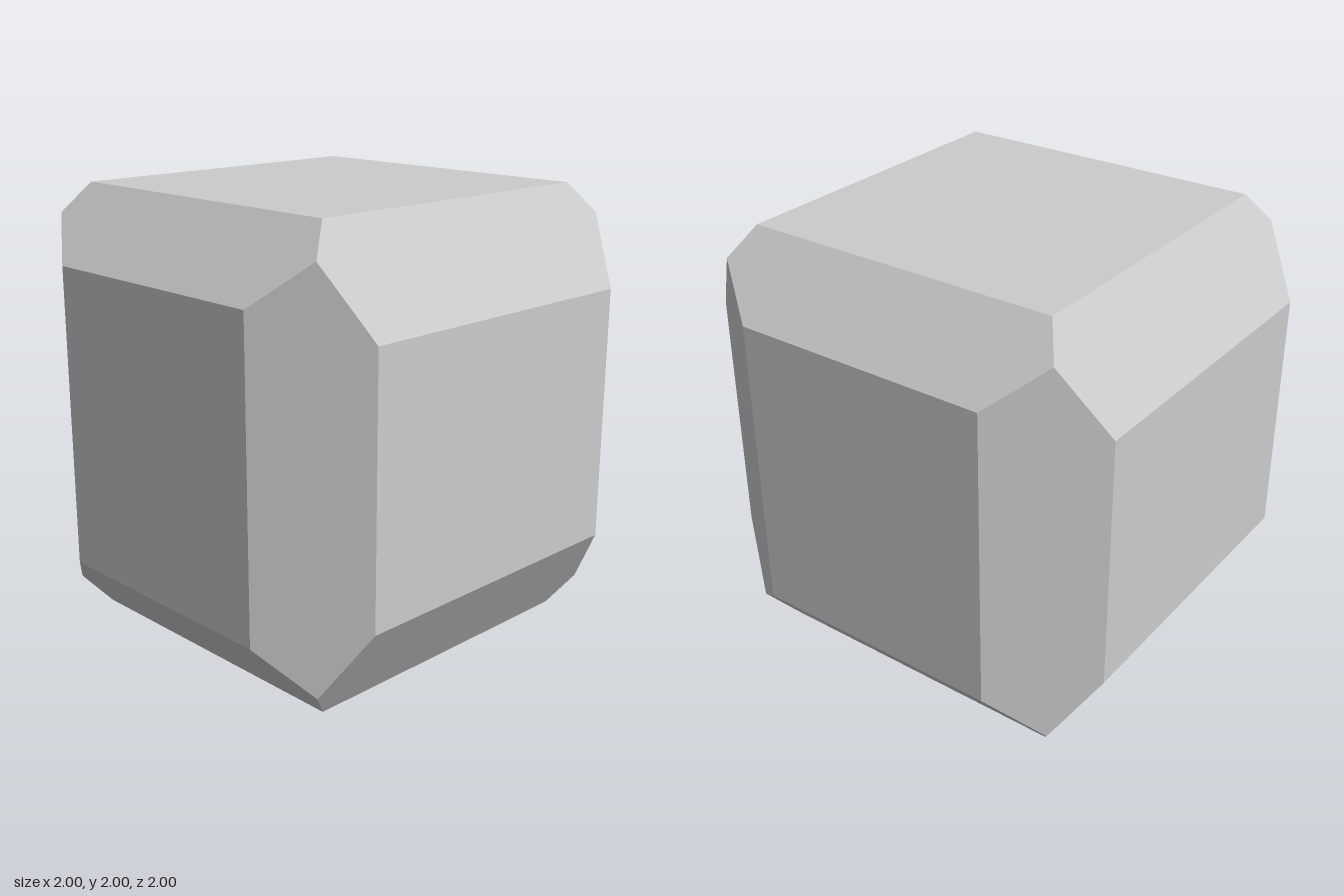
import * as THREE from 'three';
import { ConvexGeometry } from 'three/addons/geometries/ConvexGeometry.js';

export function createModel() {
  const group = new THREE.Group();
  group.name = 'chamferedCube';

  // One octant: corners of the top, front and side faces, and the point where the three chamfers meet
  const octant = [
    [0.74, 1.0, 0.73],
    [0.72, 0.57, 1.0],
    [1.0, 0.68, 0.59],
    [0.8476, 0.8675, 0.813],
  ];

  // Mirror the octant across all three axes
  const points = [];
  for (const sx of [-1, 1])
    for (const sy of [-1, 1])
      for (const sz of [-1, 1])
        for (const [x, y, z] of octant)
          points.push(new THREE.Vector3(sx * x, sy * y, sz * z));

  // Solid block with flat faces and wide chamfered edges
  const block = new THREE.Mesh(
    new ConvexGeometry(points),
    new THREE.MeshStandardMaterial({ color: 0xcccccc, flatShading: true })
  );
  block.name = 'block';
  block.position.y = 1;
  group.add(block);

  return group;
}
